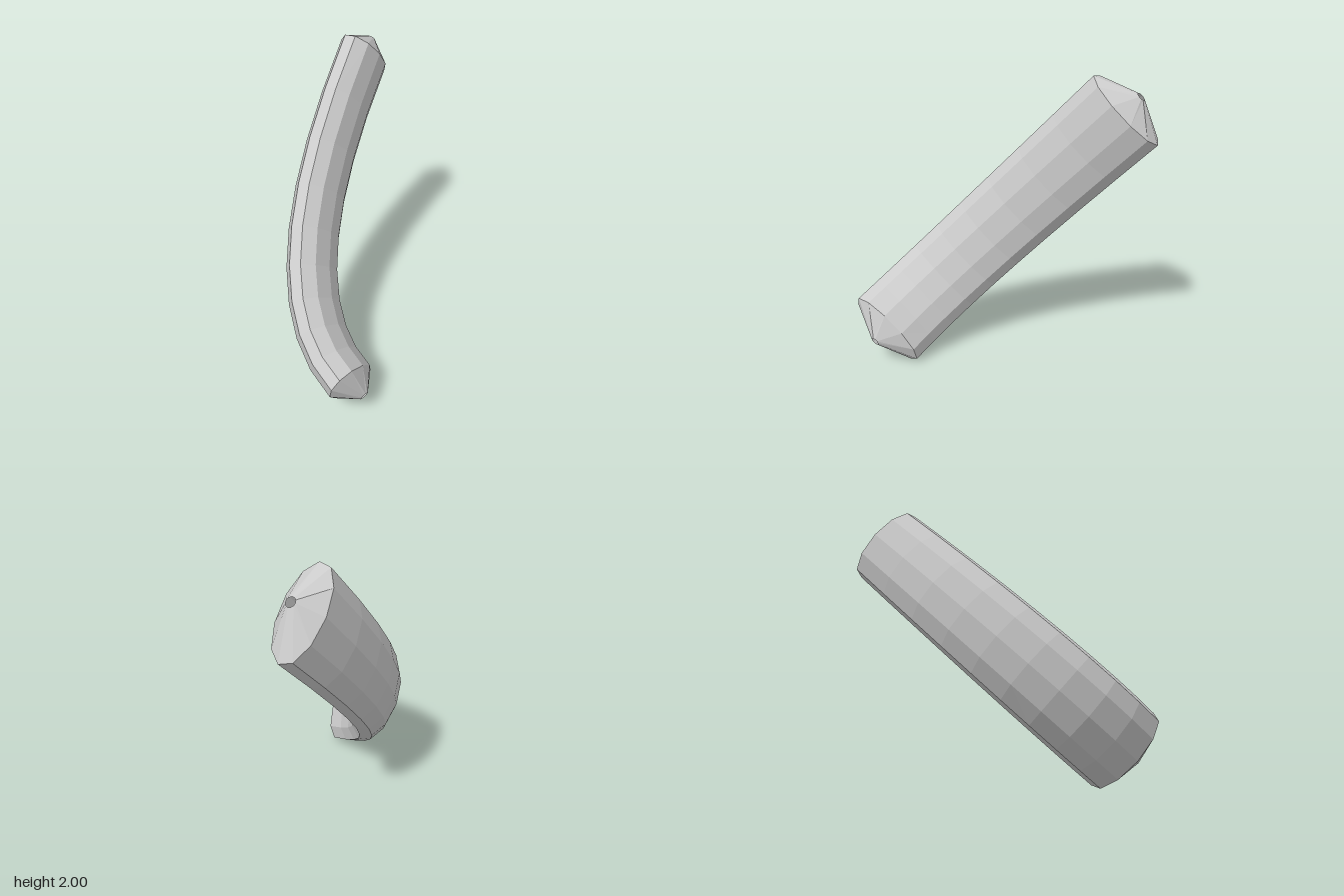
import * as THREE from 'three';

const SIDES = 11;
const STEPS = 9;
const MAJOR = 0.3;
const MINOR = 0.15;
const TIP_RADIUS = 0.03;
const TIP_LENGTH = 0.125;

// Centre line of the bent tube, lying in one plane
const path = new THREE.QuadraticBezierCurve3(
  new THREE.Vector3(-0.623, 0.23, 0.5),
  new THREE.Vector3(-0.58, 0.517, -0.265),
  new THREE.Vector3(0.65, 1.795, -0.46)
);
const startDir = path.getTangent(0);
const endDir = path.getTangent(1);
const planeNormal = startDir.clone().cross(endDir).normalize();

// One oval cross-section; the long axis is square to the plane of the bend
function ring(center, tangent, major, minor) {
  const across = tangent.clone().cross(planeNormal).normalize();
  return Array.from({ length: SIDES }, (_, j) => {
    const a = Math.PI / 2 + (j / SIDES) * Math.PI * 2;
    return center.clone()
      .addScaledVector(planeNormal, Math.cos(a) * major)
      .addScaledVector(across, Math.sin(a) * minor);
  });
}

// Skin between successive rings
function loft(name, rings, material) {
  const points = rings.flat();
  const index = [];
  for (let i = 0; i < rings.length - 1; i++) {
    for (let j = 0; j < SIDES; j++) {
      const k = (j + 1) % SIDES;
      const a = i * SIDES + j, b = i * SIDES + k;
      index.push(a, b, b + SIDES, a, b + SIDES, a + SIDES);
    }
  }
  const indexed = new THREE.BufferGeometry().setFromPoints(points);
  indexed.setIndex(index);
  const geometry = indexed.toNonIndexed();
  geometry.computeVertexNormals();
  const mesh = new THREE.Mesh(geometry, material);
  mesh.name = name;
  return mesh;
}

export function createModel() {
  const group = new THREE.Group();
  group.name = 'bentTube';
  const material = new THREE.MeshStandardMaterial({
    color: 0xcccccc, flatShading: true, side: THREE.DoubleSide
  });

  // Curved oval body
  const body = [];
  for (let i = 0; i <= STEPS; i++) {
    const t = i / STEPS;
    body.push(ring(path.getPoint(t), path.getTangent(t), MAJOR, MINOR));
  }
  group.add(loft('body', body, material));

  // Tapered ends, each with a small round opening
  const lowerTip = path.getPoint(0).addScaledVector(startDir, -TIP_LENGTH);
  const upperTip = path.getPoint(1).addScaledVector(endDir, TIP_LENGTH);
  group.add(loft('lowerEnd',
    [ring(lowerTip, startDir, TIP_RADIUS, TIP_RADIUS), body[0]], material));
  group.add(loft('upperEnd',
    [body[STEPS], ring(upperTip, endDir, TIP_RADIUS, TIP_RADIUS)], material));

  return group;
}
